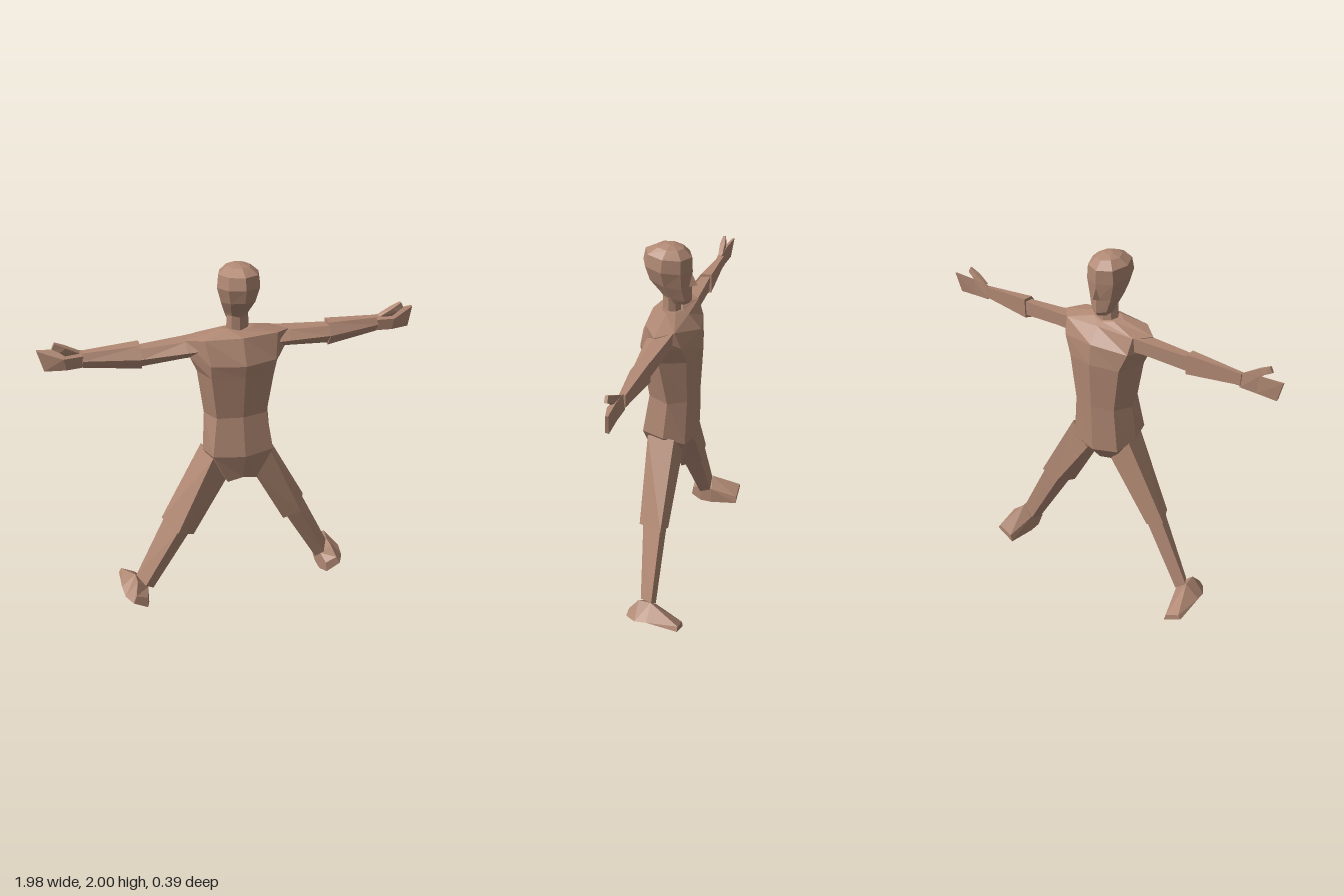
import * as THREE from 'three';

const skin = new THREE.MeshStandardMaterial({ color: 0xb08873, flatShading: true });
skin.name = 'skin';

// Closed, faceted solid from rings of [x, y, z] points; faces always turn outwards
function loft(name, rings) {
  const n = rings[0].length;
  const tris = [];
  const quad = (a, b, c, d) => tris.push([a, b, c], [a, c, d]);
  for (let r = 0; r < rings.length - 1; r++) {
    for (let i = 0; i < n; i++) {
      const j = (i + 1) % n;
      quad(rings[r][i], rings[r][j], rings[r + 1][j], rings[r + 1][i]);
    }
  }
  const cap = (ring, flip) => {
    const c = [0, 1, 2].map(k => ring.reduce((s, p) => s + p[k], 0) / n);
    for (let i = 0; i < n; i++) {
      const a = ring[i], b = ring[(i + 1) % n];
      tris.push(flip ? [c, b, a] : [c, a, b]);
    }
  };
  cap(rings[0], true);
  cap(rings[rings.length - 1], false);

  // Signed volume about the first point decides the winding
  const o = new THREE.Vector3(...rings[0][0]);
  let volume = 0;
  for (const t of tris) {
    const [a, b, c] = t.map(p => new THREE.Vector3(...p).sub(o));
    volume += a.dot(b.cross(c));
  }
  if (volume < 0) tris.forEach(t => t.reverse());

  const geo = new THREE.BufferGeometry();
  geo.setAttribute('position', new THREE.Float32BufferAttribute(tris.flat(2), 3));
  geo.computeVertexNormals();
  const mesh = new THREE.Mesh(geo, skin);
  mesh.name = name;
  return mesh;
}

// Full ring from a half: centre back, back side, side, front side, centre front
const mirrorHalf = h => [...h, ...h.slice(1, -1).reverse().map(([x, y, z]) => [-x, y, z])];

// Eight-sided head ring; the front may sit lower or higher than the back
function headRing([yBack, yFront, rx, zBack, zFront]) {
  const ring = [];
  for (let i = 0; i < 8; i++) {
    const a = (i / 8) * Math.PI * 2;
    const t = (1 + Math.cos(a)) / 2;
    ring.push([rx * Math.sin(a), yFront + (yBack - yFront) * t, zFront + (zBack - zFront) * t]);
  }
  return ring;
}

// Five-sided arm section at x: top and bottom heights, front and back depths
const armRing = (x, top, bottom, front, back) => {
  const mid = (top + bottom) / 2, d = back - front;
  return [[x, top, front], [x, top - 0.005, front + d * 0.6], [x, mid, back],
    [x, bottom, front + d * 0.6], [x, bottom + 0.02, front]];
};

export function createModel() {
  const model = new THREE.Group();
  model.name = 'figure';

  // Torso, from the neck base down to the crotch
  model.add(loft('torso', [
    [[0, 1.66, 0.09], [0.06, 1.67, 0.075], [0.09, 1.665, 0.04], [0.06, 1.66, 0], [0, 1.65, -0.02]],
    [[0, 1.64, 0.14], [0.19, 1.637, 0.11], [0.27, 1.62, 0.04], [0.2, 1.625, -0.04], [0, 1.635, -0.05]],
    [[0, 1.51, 0.195], [0.17, 1.51, 0.15], [0.25, 1.53, 0.05], [0.19, 1.54, -0.07], [0, 1.56, -0.115]],
    [[0, 1.44, 0.18], [0.165, 1.44, 0.14], [0.215, 1.45, 0.04], [0.15, 1.44, -0.085], [0, 1.45, -0.128]],
    [[0, 1.2, 0.145], [0.135, 1.2, 0.12], [0.175, 1.19, 0.01], [0.12, 1.19, -0.08], [0, 1.19, -0.115]],
    [[0, 0.985, 0.187], [0.165, 0.99, 0.15], [0.19, 0.98, 0.03], [0.14, 0.93, -0.075], [0, 0.91, -0.105]],
    [[0, 0.835, 0.145], [0.08, 0.81, 0.13], [0.085, 0.81, 0.04], [0.07, 0.82, -0.01], [0, 0.82, -0.035]],
  ].map(mirrorHalf)));

  // Neck and skull
  model.add(loft('neck', [
    [1.63, 1.63, 0.062, 0.085, -0.01],
    [1.74, 1.72, 0.055, 0.085, -0.005],
  ].map(headRing)));
  model.add(loft('head', [
    [1.72, 1.695, 0.05, 0.08, -0.05],
    [1.76, 1.715, 0.062, 0.105, -0.065],
    [1.83, 1.78, 0.088, 0.165, -0.064],
    [1.9, 1.87, 0.11, 0.186, -0.068],
    [1.96, 1.94, 0.102, 0.172, -0.065],
    [1.988, 1.98, 0.062, 0.115, -0.025],
    [2, 1.996, 0.022, 0.06, 0.02],
  ].map(headRing)));
  model.add(loft('nose', [
    [[-0.006, 1.845, -0.06], [0.006, 1.845, -0.06], [0, 1.845, -0.07]],
    [[-0.018, 1.79, -0.055], [0.018, 1.79, -0.055], [0, 1.797, -0.092]],
  ]));

  // Limbs, shaped on the +x side and mirrored
  for (const side of [1, -1]) {
    const word = side > 0 ? 'left' : 'right';
    const add = (name, rings) =>
      model.add(loft(word + name, rings.map(r => r.map(([x, y, z]) => [x * side, y, z]))));

    add('UpperArm', [
      armRing(0.2, 1.625, 1.53, -0.035, 0.1),
      armRing(0.27, 1.62, 1.53, -0.03, 0.095),
      armRing(0.5, 1.61, 1.512, -0.012, 0.07),
    ]);
    add('Forearm', [
      armRing(0.495, 1.627, 1.5, -0.022, 0.078),
      armRing(0.78, 1.615, 1.535, -0.01, 0.036),
    ]);

    // Hand: palm, flat fingers and a raised thumb
    add('Hand', [
      [[0.775, 1.62, 0], [0.775, 1.6, 0.03], [0.775, 1.54, 0.025], [0.775, 1.54, -0.005]],
      [[0.87, 1.635, -0.005], [0.87, 1.6, 0.04], [0.86, 1.54, 0.035], [0.86, 1.535, 0]],
      [[0.99, 1.643, -0.017], [0.99, 1.64, -0.003], [0.965, 1.538, 0.012], [0.965, 1.535, -0.005]],
    ]);
    add('Thumb', [
      [[0.785, 1.62, 0], [0.79, 1.615, 0.025], [0.86, 1.61, 0.025], [0.86, 1.61, 0]],
      [[0.855, 1.66, 0.005], [0.855, 1.655, 0.035], [0.885, 1.635, 0.035], [0.885, 1.64, 0.005]],
      [[0.905, 1.685, 0.015], [0.905, 1.683, 0.03], [0.92, 1.655, 0.03], [0.92, 1.657, 0.015]],
    ]);

    // Each leg ring runs: back ridge, outer front, inner front, inner back
    add('Thigh', [
      [[0.16, 0.965, 0.125], [0.185, 0.98, -0.03], [0.08, 0.85, -0.045], [0.08, 0.815, 0.1]],
      [[0.36, 0.51, 0.11], [0.42, 0.54, -0.03], [0.32, 0.49, -0.04], [0.265, 0.465, 0.075]],
    ]);
    add('Shin', [
      [[0.35, 0.52, 0.092], [0.407, 0.54, -0.025], [0.32, 0.49, -0.03], [0.285, 0.475, 0.06]],
      [[0.545, 0.14, 0.045], [0.585, 0.17, -0.03], [0.525, 0.11, -0.035], [0.5, 0.1, 0.025]],
    ]);

    // Each foot ring runs: inner sole, outer sole, outer top, inner top
    add('Foot', [
      [[0.55, 0.025, 0.095], [0.63, 0.075, 0.1], [0.61, 0.115, 0.09], [0.545, 0.085, 0.085]],
      [[0.53, 0.005, 0.03], [0.665, 0.085, 0.04], [0.59, 0.175, 0.04], [0.53, 0.12, 0.03]],
      [[0.53, 0.005, -0.04], [0.672, 0.105, -0.03], [0.59, 0.175, -0.03], [0.53, 0.11, -0.04]],
      [[0.555, 0.015, -0.2], [0.66, 0.08, -0.2], [0.645, 0.105, -0.2], [0.565, 0.06, -0.2]],
    ]);
  }

  // Rest exactly on the ground
  const box = new THREE.Box3().setFromObject(model);
  model.position.y = -box.min.y;
  return model;
}
